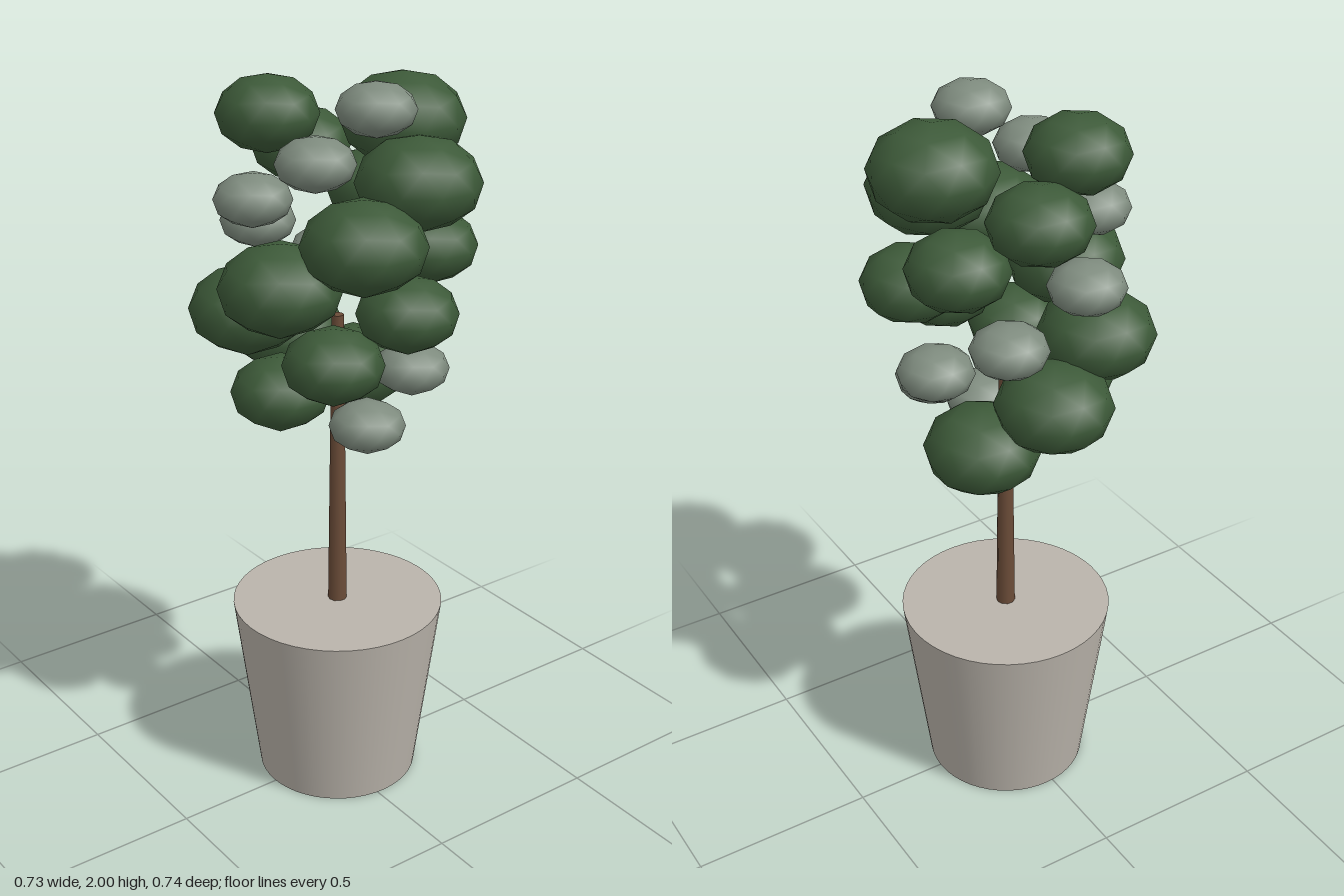
import * as THREE from 'three';

const mat = (name, color) => {
  const m = new THREE.MeshStandardMaterial({ color });
  m.name = name;
  return m;
};

export function createModel() {
  const darkGreen = mat('dark green', 0x3d5a39);
  const paleGreen = mat('pale sage', 0x7f8c7f);
  const stone = mat('warm grey stone', 0xbab4ab);
  const bark = mat('brown bark', 0x6b4c38);

  const model = new THREE.Group();
  model.name = 'pottedTree';

  // Everything is arranged around the trunk axis
  const tree = new THREE.Group();
  tree.name = 'tree';
  tree.position.set(-0.006, 0, -0.021);
  model.add(tree);

  const add = (parent, name, geometry, material, y) => {
    const mesh = new THREE.Mesh(geometry, material);
    mesh.name = name;
    mesh.position.y = y;
    parent.add(mesh);
    return mesh;
  };

  // Tapered pot and trunk
  add(tree, 'pot', new THREE.CylinderGeometry(0.29, 0.222, 0.525, 48), stone, 0.2625);
  add(tree, 'trunk', new THREE.CylinderGeometry(0.016, 0.026, 0.85, 10), bark, 0.94);

  // Leaf clump: low-poly sphere with a vertex pointing up
  const clump = new THREE.IcosahedronGeometry(1, 1);
  clump.rotateX(-Math.atan((1 + Math.sqrt(5)) / 2));
  clump.rotateY(Math.PI / 2);

  // Three interleaved spirals of clumps, widest at mid height
  const spirals = [
    { name: 'largeLeafClump', material: darkGreen, count: 7, size: [0.152, 0.162], flat: 0.74,
      y: [1.147, 1.857], start: 229.5, end: -84, reach: 0.19, bulge: 0.048 },
    { name: 'smallLeafClump', material: darkGreen, count: 7, size: [0.13, 0.132], flat: 0.74,
      y: [1.19, 1.885], start: 92, end: -224, reach: 0.178, bulge: 0.058 },
    { name: 'paleLeafClump', material: paleGreen, count: 8, size: [0.1, 0.1], flat: 0.67,
      y: [1.11, 1.932], start: 6.8, end: -360, reach: 0.155, bulge: 0.09 },
  ];
  const { lerp, degToRad } = THREE.MathUtils;
  for (const s of spirals) {
    const group = new THREE.Group();
    group.name = s.name + 's';
    tree.add(group);
    for (let i = 0; i < s.count; i++) {
      const t = i / (s.count - 1);
      const angle = degToRad(lerp(s.start, s.end, t));
      const reach = s.reach + s.bulge * Math.sin(Math.PI * t);
      const r = lerp(s.size[0], s.size[1], t);
      const mesh = add(group, s.name, clump, s.material, lerp(s.y[0], s.y[1], t));
      mesh.position.x = reach * Math.cos(angle);
      mesh.position.z = reach * Math.sin(angle);
      mesh.scale.set(r, r * s.flat, r);
    }
  }
  return model;
}
